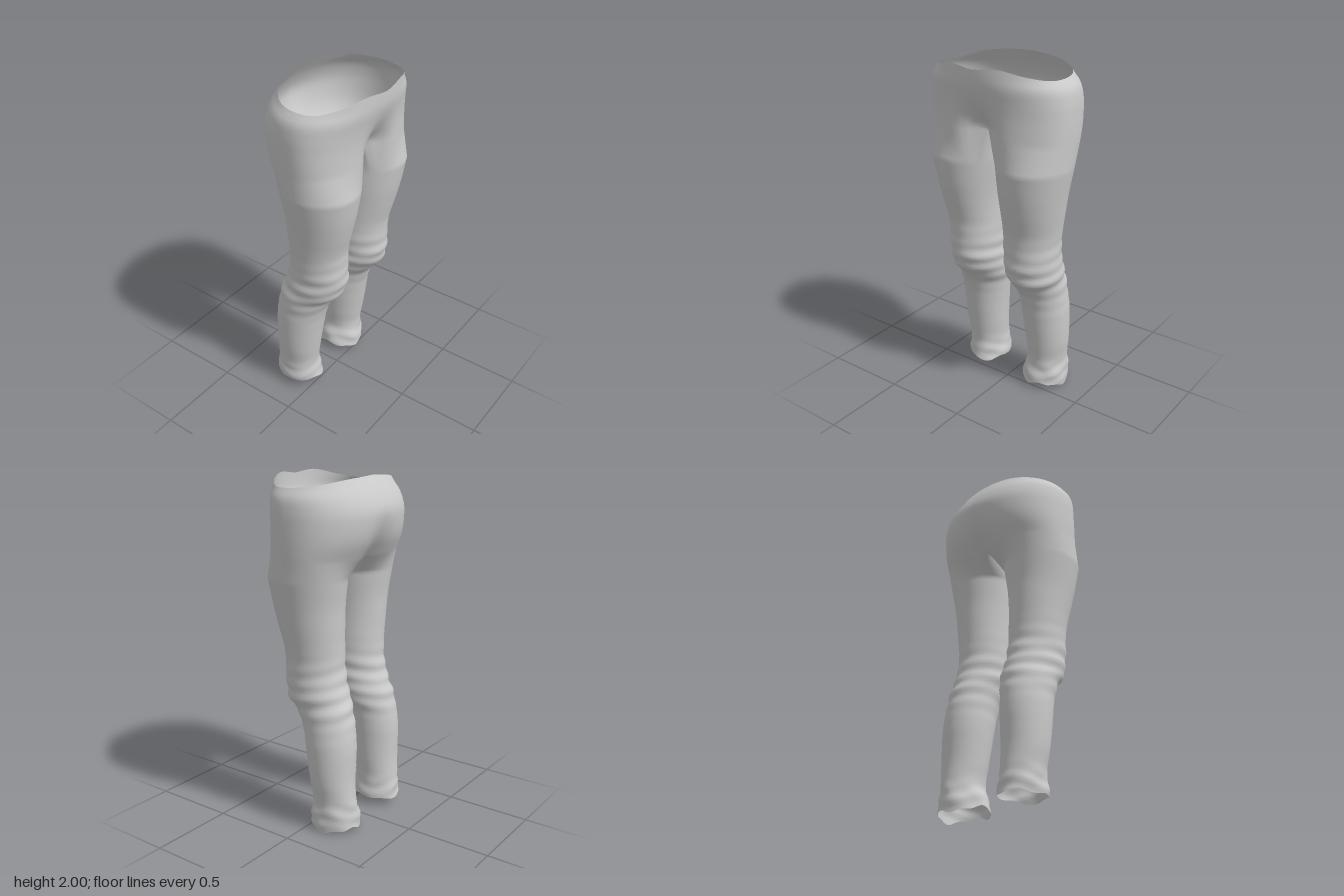
import * as THREE from 'three';
import { mergeGeometries, mergeVertices } from 'three/addons/utils/BufferGeometryUtils.js';

// Smooth lookup: rows of [key, value, value, ...]
function table(rows) {
  const n = rows[0].length - 1;
  const curve = new THREE.CubicInterpolant(rows.map(r => r[0]), rows.flatMap(r => r.slice(1)), n, new Array(n));
  return k => [...curve.evaluate(k)];
}

// Leg depth by height: front z, back z
const legDepth = table([
  [0, 0.03, -0.27], [0.08, 0.02, -0.265], [0.17, 0.005, -0.255], [0.3, 0.02, -0.245], [0.4, 0.035, -0.245],
  [0.5, 0.05, -0.245], [0.6, 0.07, -0.235], [0.68, 0.105, -0.22], [0.78, 0.18, -0.19], [0.85, 0.193, -0.165],
  [0.95, 0.195, -0.147], [1.05, 0.198, -0.145], [1.2, 0.233, -0.15], [1.3, 0.255, -0.155], [1.45, 0.278, -0.175],
]);
// Leg width by height: inner x, outer x
const legWidth = {
  1: table([[0, 0.07, 0.335], [0.08, 0.07, 0.34], [0.18, 0.1, 0.33], [0.3, 0.09, 0.345], [0.5, 0.07, 0.352],
    [0.68, 0.06, 0.345], [0.8, 0.037, 0.355], [1, 0.03, 0.355], [1.2, 0.025, 0.385], [1.45, 0.01, 0.43]]),
  [-1]: table([[0, 0.09, 0.34], [0.08, 0.1, 0.345], [0.18, 0.112, 0.34], [0.3, 0.105, 0.355], [0.5, 0.09, 0.364],
    [0.62, 0.075, 0.362], [0.7, 0.05, 0.362], [0.8, 0.047, 0.355], [1, 0.05, 0.36], [1.2, 0.045, 0.387], [1.45, 0.01, 0.435]]),
};
// Hips by height: half width, front z, back z, front centre dip, back centre dip
const hips = table([
  [1.45, 0.43, 0.278, -0.18, 0.13, 0.07], [1.55, 0.435, 0.28, -0.23, 0.12, 0.055], [1.66, 0.44, 0.278, -0.285, 0.1, 0.03],
  [1.75, 0.441, 0.28, -0.305, 0.04, 0.01], [1.82, 0.439, 0.288, -0.306, 0.01, 0], [1.9, 0.424, 0.303, -0.277, 0, 0],
  [1.945, 0.392, 0.307, -0.25, 0, 0], [2, 0.375, 0.308, -0.212, 0, 0],
]);
// Waist edge height and crotch line height, from front centre (0) round the side to back centre (1)
const waistY = table([[0, 1.985], [0.12, 1.998], [0.25, 1.968], [0.38, 1.945], [0.5, 1.945], [0.65, 1.958], [0.85, 1.985], [1, 1.997]]);
const crotchY = table([[0, 1.655], [0.15, 1.62], [0.5, 1.59], [0.85, 1.565], [1, 1.56]]);

const OUTER = 44, INNER = 16, RING = OUTER + INNER;
const INNER_ANGLE = 0.9, LEG_TOP = 1.45;

// Half outline of the hips: u goes front to back, t goes crotch to waist
function hipPoint(u, t) {
  const y = THREE.MathUtils.lerp(crotchY(u)[0], waistY(u)[0], t);
  const [rx, front, back, dipF, dipB] = hips(y);
  const c = Math.cos(Math.PI * u), power = 0.84 + 0.1 * t;
  const x = rx * Math.pow(Math.max(0, Math.sin(Math.PI * u)), power);
  const reach = Math.pow(Math.abs(c), power), crease = Math.exp(-((x / 0.09) ** 2));
  const z = c > 0 ? 0.03 + (front - 0.03) * reach - dipF * crease : 0.03 + (back - 0.03) * reach + dipB * crease;
  return new THREE.Vector3(u === 0 || u === 1 ? 0 : x, y, z);
}

// Seam between the legs, from back centre to front centre
function crotchPoint(v) {
  const p = hipPoint(1, 0).lerp(hipPoint(0, 0), v);
  p.y -= 0.05 * Math.sin(Math.PI * v);
  return p;
}

// Angle round a leg for a column: 0 is front, a quarter turn is outside
function ringAngle(j) {
  const outerSpan = Math.PI + 2 * INNER_ANGLE;
  return j <= OUTER ? -INNER_ANGLE + outerSpan * j / OUTER
    : -INNER_ANGLE + outerSpan + (2 * Math.PI - outerSpan) * (j - OUTER) / INNER;
}

// Leg ring with folds at the knee and a crumpled, uneven hem
function legPoint(side, j, t) {
  const a = ringAngle(j);
  const hem = side > 0
    ? 0.03 + 0.014 * Math.cos(a + 1.2) + 0.012 * Math.sin(3 * a) + 0.006 * Math.sin(7 * a)
    : 0.055 + 0.006 * Math.sin(3 * a) + 0.006 * Math.sin(5 * a + 1);
  const y = THREE.MathUtils.lerp(hem, LEG_TOP, t);
  const [zf, zb] = legDepth(y), [xi, xo] = legWidth[side](y);
  const knee = Math.exp(-(((y - 0.79) / 0.16) ** 2)), cuff = Math.exp(-(((y - 0.1) / 0.07) ** 2));
  const fold = 1
    + 0.03 * knee * Math.sin(y * 72 + 1.6 * Math.sin(a + side) + side)
    + 0.018 * knee * Math.sin(y * 45 - 2 * a)
    + cuff * (0.03 * Math.sin(y * 75 + 2 * Math.sin(2 * a + side)) + 0.025 * Math.sin(5 * a + y * 30));
  return new THREE.Vector3(
    (xi + xo) / 2 + (xo - xi) / 2 * Math.sin(a) * fold, y,
    (zf + zb) / 2 + (zf - zb) / 2 * Math.cos(a) * fold);
}

// Surface through rows of points, mirrored to the given side
function skin(rows, side) {
  const w = rows[0].length, pos = [], index = [];
  rows.forEach(row => row.forEach(p => pos.push(p.x * side, p.y, p.z)));
  for (let r = 0; r < rows.length - 1; r++) {
    for (let j = 0; j < w - 1; j++) {
      const a = r * w + j, b = a + 1, c = b + w, d = a + w;
      index.push(...(side > 0 ? [a, b, c, a, c, d] : [a, c, b, a, d, c]));
    }
  }
  const g = new THREE.BufferGeometry();
  g.setAttribute('position', new THREE.Float32BufferAttribute(pos, 3));
  g.setIndex(index);
  return g;
}

const rowOf = (count, fn) => Array.from({ length: count + 1 }, (_, j) => fn(j));

export function createModel() {
  const parts = [];
  for (const side of [1, -1]) {
    // Trouser leg up to the thigh
    const legRows = rowOf(80, r => rowOf(RING, j => legPoint(side, j % RING, r / 80)));
    // Thigh blending into the hip outline and the crotch seam
    const blend = 10;
    for (let r = 1; r <= blend; r++) {
      const t = r / blend;
      legRows.push(rowOf(RING, k => {
        const j = k % RING;
        const end = j <= OUTER ? hipPoint(j / OUTER, 0) : crotchPoint((j - OUTER) / INNER);
        return legPoint(side, j, 1).lerp(end, t);
      }));
    }
    parts.push(skin(legRows, side));
    // Half of the seat, up to the open waist
    parts.push(skin(rowOf(20, r => rowOf(OUTER, j => hipPoint(j / OUTER, r / 20))), side));
  }
  // Weld the halves so the cloth shades as one piece
  const geometry = mergeVertices(mergeGeometries(parts), 1e-4);
  geometry.computeVertexNormals();

  const trousers = new THREE.Mesh(geometry,
    new THREE.MeshStandardMaterial({ color: 0xcccccc, roughness: 0.9, side: THREE.DoubleSide }));
  trousers.name = 'trousers';
  const group = new THREE.Group();
  group.name = 'trousersModel';
  group.add(trousers);
  return group;
}
